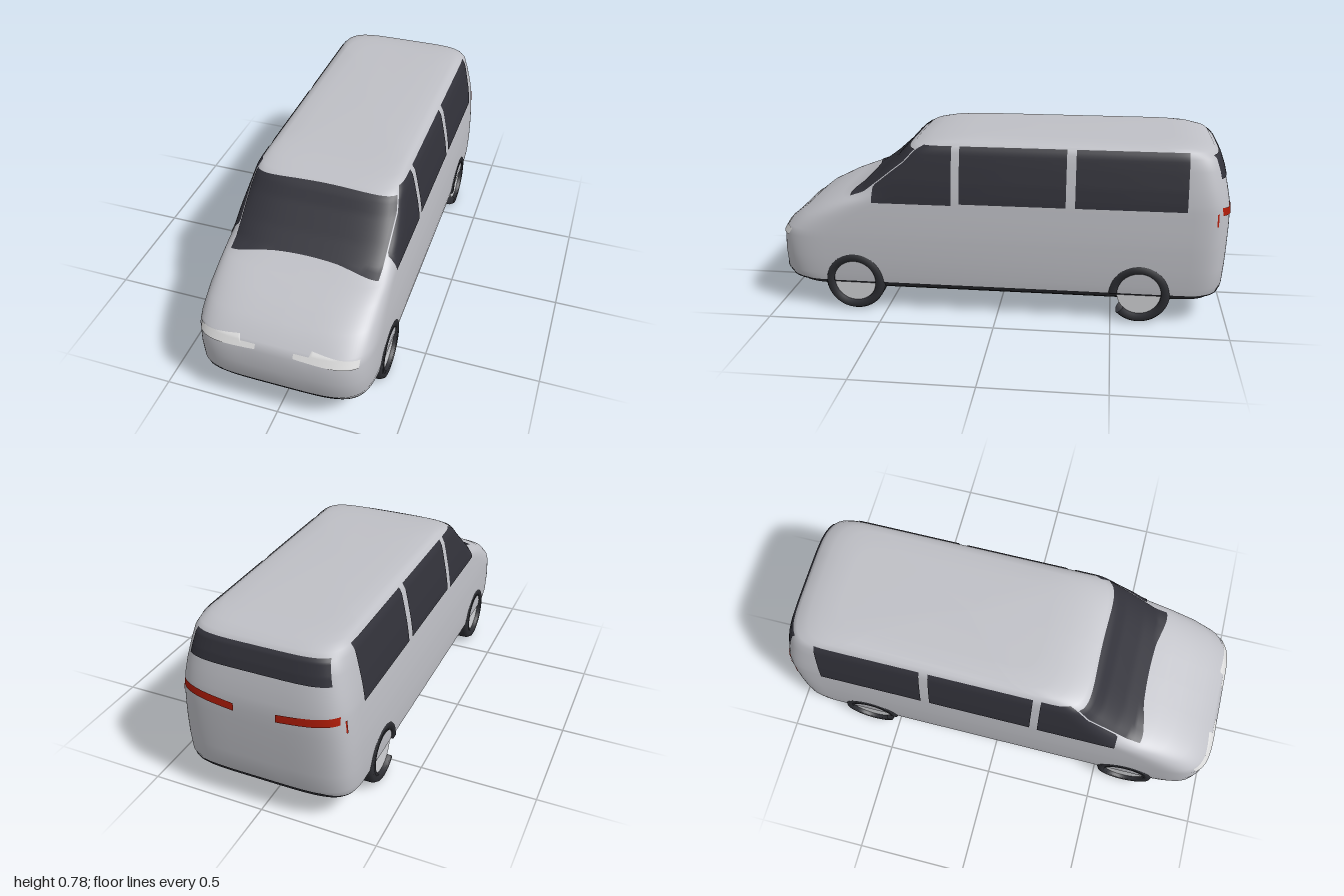
import * as THREE from 'three';

const std = (name, color, double) => {
  const m = new THREE.MeshStandardMaterial({ color });
  m.name = name;
  if (double) m.side = THREE.DoubleSide;
  return m;
};

// Body profile by height: [y, half width, front z, rear z, front corner depth]
const PROFILE = [
  [0.10, 0.33, 0.85, -0.88, 0.35],
  [0.115, 0.355, 0.93, -0.94, 0.35],
  [0.135, 0.368, 0.97, -0.97, 0.35],
  [0.17, 0.372, 0.995, -0.987, 0.35],
  [0.25, 0.375, 1.0, -0.993, 0.35],
  [0.335, 0.374, 0.997, -0.997, 0.35],
  [0.37, 0.373, 0.975, -0.998, 0.35],
  [0.43, 0.370, 0.90, -1.0, 0.35],
  [0.48, 0.366, 0.80, -1.0, 0.33],
  [0.51, 0.364, 0.72, -0.998, 0.3],
  [0.54, 0.361, 0.63, -0.995, 0.26],
  [0.60, 0.352, 0.55, -0.983, 0.2],
  [0.68, 0.336, 0.46, -0.963, 0.18],
  [0.73, 0.325, 0.415, -0.945, 0.18],
  [0.755, 0.313, 0.38, -0.92, 0.18],
  [0.77, 0.295, 0.31, -0.87, 0.18],
  [0.778, 0.27, 0.24, -0.82, 0.18],
  [0.783, 0.2, 0.15, -0.75, 0.18],
];
const N = 5; // corner squareness of the plan outline
const REAR_DEPTH = 0.25;
const { lerp } = THREE.MathUtils;

function section(y) {
  let i = 0;
  while (i < PROFILE.length - 2 && y > PROFILE[i + 1][0]) i++;
  const a = PROFILE[i], b = PROFILE[i + 1];
  const t = THREE.MathUtils.clamp((y - a[0]) / (b[0] - a[0]), 0, 1);
  const [, w, front, rear, depth] = a.map((v, k) => lerp(v, b[k], t));
  return { w, front, rear, depth };
}
const arc = (t) => Math.pow(Math.max(0, 1 - Math.pow(Math.min(1, Math.abs(t)), N)), 1 / N);

// Surface lookups: nose, tail and flank of the body
function frontZ(y, x) {
  const s = section(y);
  return s.front - s.depth * (1 - arc(x / s.w));
}
function rearZ(y, x) {
  const s = section(y);
  return s.rear + REAR_DEPTH * (1 - arc(x / s.w));
}
function sideX(y, z) {
  const s = section(y);
  const f = (z - s.front + s.depth) / s.depth;
  const r = (s.rear + REAR_DEPTH - z) / REAR_DEPTH;
  return s.w * arc(Math.max(0, f, r));
}

// Stack of plan outlines, closed at one end
function loft(rows, capTop) {
  const SEG = 96, pos = [], idx = [];
  for (const [y] of rows) {
    const s = section(y);
    for (let j = 0; j < SEG; j++) {
      const a = (j / SEG) * Math.PI * 2, c = Math.cos(a), n = Math.sin(a);
      const k = Math.pow(Math.abs(n), 2 / N);
      pos.push(s.w * Math.sign(c) * Math.pow(Math.abs(c), 2 / N), y,
        n >= 0 ? s.front - s.depth * (1 - k) : s.rear + REAR_DEPTH * (1 - k));
    }
  }
  for (let i = 0; i < rows.length - 1; i++) {
    for (let j = 0; j < SEG; j++) {
      const a = i * SEG + j, b = i * SEG + (j + 1) % SEG;
      idx.push(a, a + SEG, b + SEG, a, b + SEG, b);
    }
  }
  const centre = pos.length / 3;
  const last = (rows.length - 1) * SEG;
  pos.push(0, capTop ? 0.786 : rows[0][0], -0.2);
  for (let j = 0; j < SEG; j++) {
    const k = (j + 1) % SEG;
    if (capTop) idx.push(centre, last + k, last + j);
    else idx.push(centre, j, k);
  }
  const g = new THREE.BufferGeometry();
  g.setAttribute('position', new THREE.Float32BufferAttribute(pos, 3));
  g.setIndex(idx);
  g.computeVertexNormals();
  return g;
}

// Thin skin laid over the body; fn maps (u, v) to a point
function patch(fn, nu = 32, nv = 20) {
  const g = new THREE.PlaneGeometry(1, 1, nu, nv);
  const p = g.attributes.position, uv = g.attributes.uv;
  for (let i = 0; i < p.count; i++) p.setXYZ(i, ...fn(uv.getX(i), uv.getY(i)));
  g.computeVertexNormals();
  return g;
}
const GAP = 0.004;

export function createModel() {
  const paint = std('silver paint', 0xbfc0c6);
  const glass = std('dark glass', 0x32323a, true);
  const trim = std('black trim', 0x2e2f34, true);
  const rim = std('pale rim', 0xd2d3d6, true);
  const lamp = std('headlight', 0xdcdcdc, true);
  const red = std('tail light red', 0xb01c08, true);

  const van = new THREE.Group();
  van.name = 'van';
  const add = (name, geo, mat, parent = van) => {
    const m = new THREE.Mesh(geo, mat);
    m.name = name;
    parent.add(m);
    return m;
  };

  // Body shell and dark underbody
  add('body', loft(PROFILE.slice(2), true), paint);
  add('underbody', loft(PROFILE.slice(0, 3), false), trim);

  // Windscreen and rear window
  const screenEdge = (y) => Math.min(0.32, section(y).w * 0.955);
  add('windscreen', patch((u, v) => {
    const s = u * 2 - 1;
    const y = lerp(0.545 - 0.025 * s * s, 0.748 - 0.012 * s * s, v);
    const x = s * screenEdge(y);
    return [x, y + GAP / 2, frontZ(y, x) + GAP];
  }, 48), glass);
  add('rearWindow', patch((u, v) => {
    const s = u * 2 - 1;
    const y = lerp(0.645, 0.742, v), x = s * lerp(0.3, 0.28, v);
    return [x, y, rearZ(y, x) - GAP];
  }, 48), glass);

  // Bumpers, tapering down round the corners
  const bumper = (top, surface, sign) => patch((u, v) => {
    const x = (u * 2 - 1) * 0.36;
    const t = Math.max(0, (Math.abs(x) - 0.26) / 0.1);
    const y = lerp(0.13, lerp(top, 0.138, t), v);
    return [x, y, surface(y, x) + sign * GAP];
  }, 72, 4);
  add('frontBumper', bumper(0.176, frontZ, 1), trim);
  add('rearBumper', bumper(0.158, rearZ, -1), trim);

  // Tyre outline (radius, offset across), revolved into a hollow ring
  const tyreOutline = [[0.095, 0.283], [0.12, 0.283], [0.135, 0.303], [0.135, 0.36],
    [0.125, 0.378], [0.095, 0.378], [0.095, 0.283]].map(([r, h]) => new THREE.Vector2(r, h));

  for (const s of [1, -1]) {
    const side = s > 0 ? 'left' : 'right';

    // Side windows, the first one following the windscreen pillar
    const panes = [[0.55, 0.2], [0.165, -0.295], [-0.335, -0.805]];
    panes.forEach(([front, rear], i) => add(`${side}SideWindow${i + 1}`, patch((u, v) => {
      const y = lerp(i ? 0.513 : 0.506, 0.757, v);
      const f = i ? front : Math.min(front, frontZ(y, screenEdge(y)));
      const z = lerp(rear, f, u);
      return [s * (sideX(y, z) + GAP), y, z];
    }), glass));

    // Headlight with a stepped upper edge
    add(`${side}Headlight`, patch((u, v) => {
      const x = lerp(0.08, 0.335, u);
      const top = x < 0.145 ? 0.363 : lerp(0.382, 0.362, (x - 0.145) / 0.19);
      const y = lerp(lerp(0.345, 0.332, u), top, v);
      return [s * x, y, frontZ(y, x) + GAP];
    }, 40, 8), lamp);

    // Tail light rising outwards, and a small side marker
    add(`${side}TailLight`, patch((u, v) => {
      const x = lerp(0.09, 0.335, u);
      const y = lerp(0.485, 0.512, u) + (v - 0.5) * 0.034;
      return [s * x, y, rearZ(y, x) - GAP];
    }, 32, 4), red);
    add(`${side}SideMarker`, patch((u, v) => {
      const y = lerp(0.45, 0.505, v), z = lerp(-0.938, -0.931, u);
      return [s * (sideX(y, z) + GAP), y, z];
    }, 1, 4), red);

    // Wheels; the rear ring is part covered by the body
    for (const [name, z, start, length] of [
      ['Front', 0.64, 0, Math.PI * 2], ['Rear', -0.62, Math.PI * 0.25, Math.PI * 1.75]]) {
      const wheel = new THREE.Group();
      wheel.name = `${side}${name}Wheel`;
      wheel.position.set(0, 0.137, z);
      wheel.scale.x = s;
      const tyre = add('tyre', new THREE.LatheGeometry(tyreOutline, 48, start, length), trim, wheel);
      tyre.rotation.z = -Math.PI / 2;
      const hub = add('hub', new THREE.CylinderGeometry(0.096, 0.096, 0.06, 40), rim, wheel);
      hub.rotation.z = -Math.PI / 2;
      hub.position.x = 0.332;
      van.add(wheel);
    }
  }
  return van;
}
